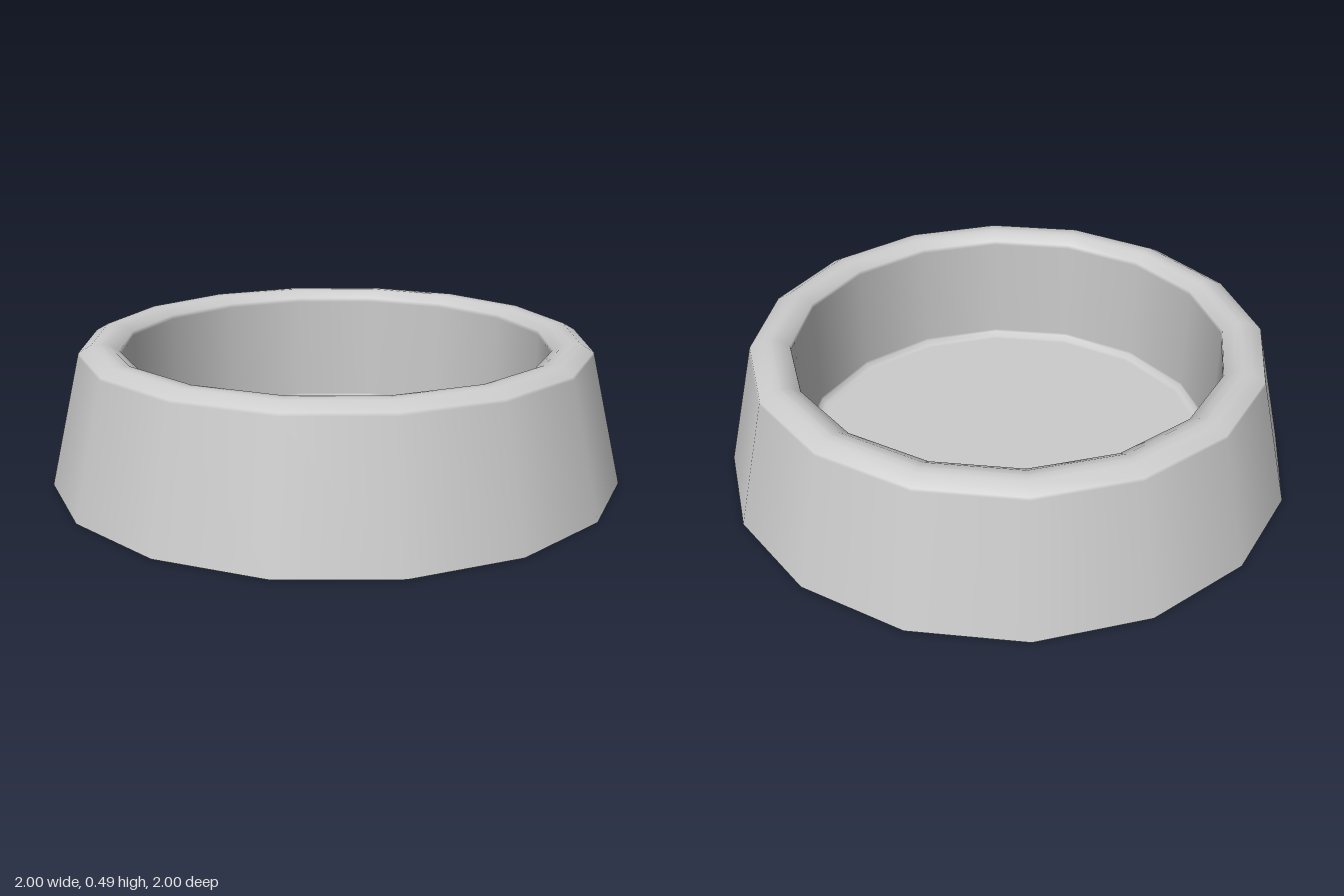
import * as THREE from 'three';

const SIDES = 16;
const TWIST = THREE.MathUtils.degToRad(-3);

// Revolve a [radius, height] profile into a softly shaded 16-sided part
function revolve(name, profile) {
  const points = profile.map(([r, y]) => new THREE.Vector2(r, y));
  const geometry = new THREE.LatheGeometry(points, SIDES, TWIST);
  const material = new THREE.MeshStandardMaterial({ color: 0xcccccc, side: THREE.DoubleSide });
  const mesh = new THREE.Mesh(geometry, material);
  mesh.name = name;
  return mesh;
}

export function createModel() {
  const bowl = new THREE.Group();
  bowl.name = 'bowl';

  // Sloping skirt, open underneath, bevelled over onto the rim
  bowl.add(revolve('outerWall', [
    [1.0, 0], [0.892, 0.455], [0.889, 0.465], [0.845, 0.49], [0.815, 0.49],
  ]));

  // Inner half of the rim, straight basin wall and the floor just above the ground
  bowl.add(revolve('basin', [
    [0.815, 0.49], [0.79, 0.488], [0.752, 0.465], [0.75, 0.45],
    [0.75, 0.06], [0.75, 0.05], [0.735, 0.035], [0.715, 0.035], [0, 0.035],
  ]));

  return bowl;
}
